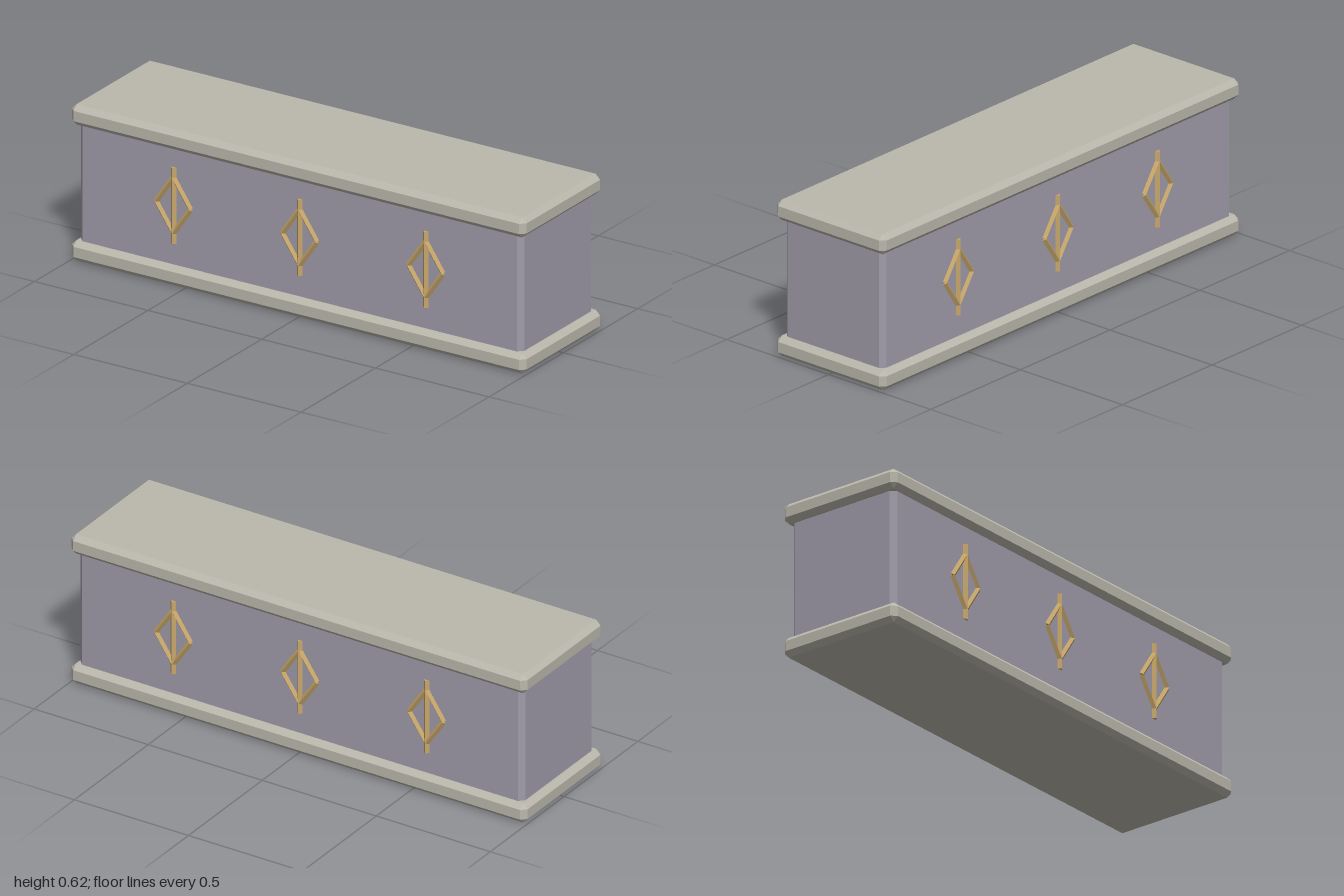
import * as THREE from 'three';
import { ConvexGeometry } from 'three/addons/geometries/ConvexGeometry.js';

const stone = new THREE.MeshStandardMaterial({ color: 0xbab7ab });
stone.name = 'warm grey stone';
const panel = new THREE.MeshStandardMaterial({ color: 0xa09ba9 });
panel.name = 'violet grey stone';
const brass = new THREE.MeshStandardMaterial({ color: 0xc6a66a });
brass.name = 'brass';

const BEVEL = 0.02;

// Box with every edge and corner cut off flat
function bevelledBox(w, h, d, c) {
  const points = [];
  for (const sx of [-1, 1]) for (const sy of [-1, 1]) for (const sz of [-1, 1]) {
    const x = w / 2, y = h / 2, z = d / 2;
    points.push(
      new THREE.Vector3(sx * x, sy * (y - c), sz * (z - c)),
      new THREE.Vector3(sx * (x - c), sy * y, sz * (z - c)),
      new THREE.Vector3(sx * (x - c), sy * (y - c), sz * z));
  }
  return new ConvexGeometry(points);
}

function addMesh(parent, name, geometry, material, x = 0, y = 0, z = 0) {
  const mesh = new THREE.Mesh(geometry, material);
  mesh.name = name;
  mesh.position.set(x, y, z);
  parent.add(mesh);
  return mesh;
}

// Ridged bar between two points of the ornament plane, its ridge facing z
function addBar(parent, name, a, b, radius) {
  const dx = b[0] - a[0], dy = b[1] - a[1];
  const geometry = new THREE.CylinderGeometry(radius, radius, Math.hypot(dx, dy), 4).toNonIndexed();
  geometry.computeVertexNormals();
  const bar = addMesh(parent, name, geometry, brass, (a[0] + b[0]) / 2, (a[1] + b[1]) / 2);
  bar.rotation.z = -Math.atan2(dx, dy);
}

// Diamond frame with an upright through its middle
function createOrnament() {
  const ornament = new THREE.Group();
  ornament.name = 'diamondOrnament';
  addBar(ornament, 'upright', [0, -0.152], [0, 0.152], 0.012);
  for (const sx of [-1, 1]) for (const sy of [-1, 1]) {
    addBar(ornament, 'diamondSide', [0, sy * 0.112], [sx * 0.076, 0], 0.011);
  }
  return ornament;
}

export function createModel() {
  const model = new THREE.Group();
  model.name = 'stoneChest';

  // Base and lid slabs around the body
  addMesh(model, 'base', bevelledBox(2, 0.081, 0.534, BEVEL), stone, 0, 0.0405, 0);
  addMesh(model, 'lid', bevelledBox(2, 0.081, 0.534, BEVEL), stone, 0, 0.5835, 0);
  addMesh(model, 'body', bevelledBox(1.95, 0.54, 0.488, BEVEL), panel, 0, 0.312, 0);

  // Three ornaments on each long side
  for (const side of [1, -1]) {
    for (const x of [-0.555, 0, 0.555]) {
      const ornament = createOrnament();
      ornament.position.set(x, 0.318, side * 0.244);
      model.add(ornament);
    }
  }
  return model;
}
